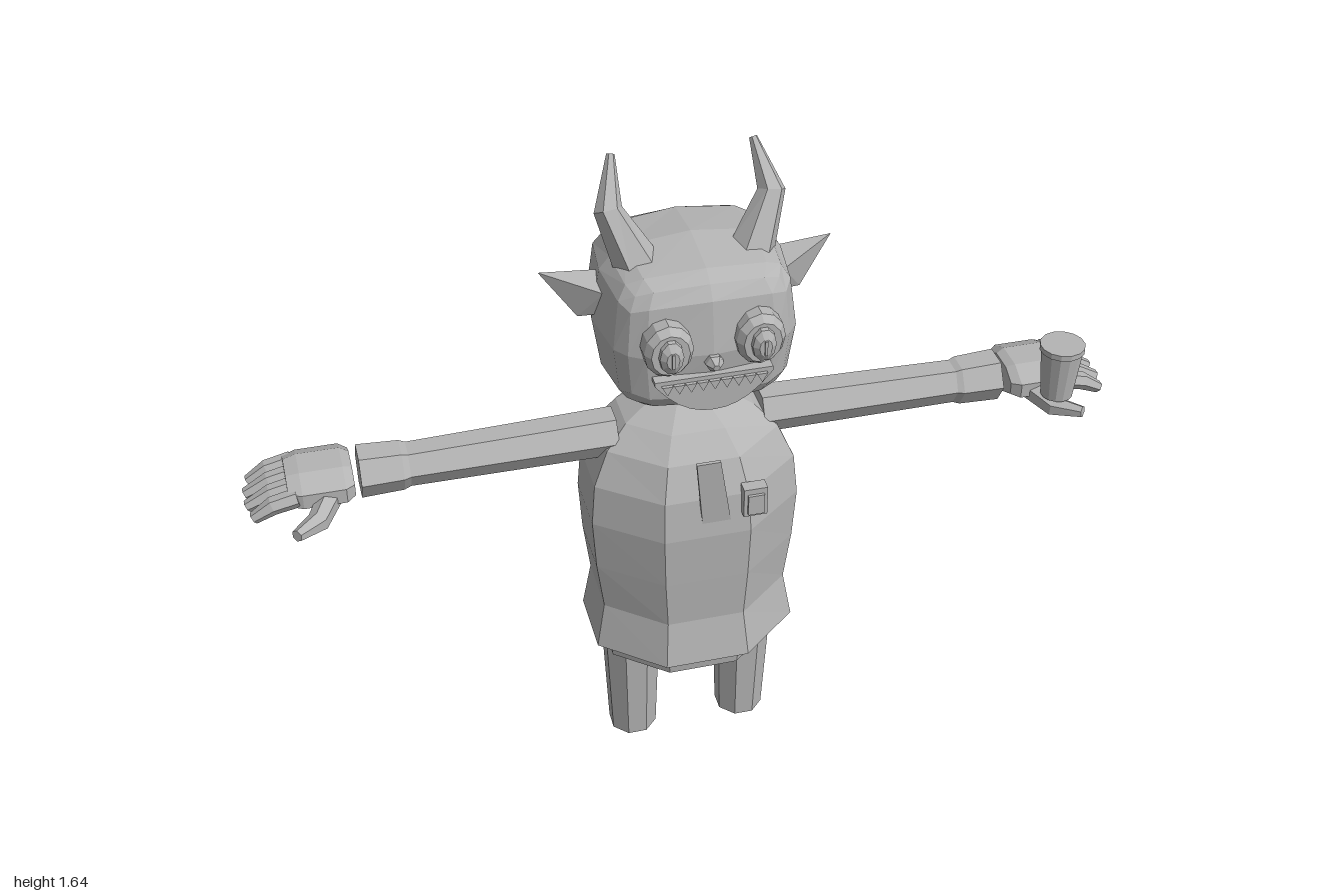
import * as THREE from 'three';
import { ConvexGeometry } from 'three/addons/geometries/ConvexGeometry.js';

const V = (x, y, z) => new THREE.Vector3(x, y, z);

// Capped skin over a list of rings; faces are turned outward whichever way the rings run
function loft(rings) {
  const tris = [], n = rings[0].length, last = rings.length - 1;
  const mid = (r) => r.reduce((a, p) => a.add(p), V(0, 0, 0)).divideScalar(n);
  const c0 = mid(rings[0]), c1 = mid(rings[last]);
  for (let j = 0; j < n; j++) {
    const k = (j + 1) % n;
    for (let i = 0; i < last; i++) {
      const a = rings[i][j], b = rings[i][k], c = rings[i + 1][k], d = rings[i + 1][j];
      tris.push([a, b, c], [a, c, d]);
    }
    tris.push([c0, rings[0][k], rings[0][j]], [c1, rings[last][j], rings[last][k]]);
  }
  const volume = tris.reduce((s, [a, b, c]) => s + a.clone().sub(c0).dot(b.clone().sub(c0).cross(c.clone().sub(c0))), 0);
  if (volume < 0) tris.forEach((t) => t.reverse());
  const geo = new THREE.BufferGeometry().setFromPoints(tris.flat());
  geo.computeVertexNormals();
  return geo;
}

// Faceted tube with a radius at every point; flat squashes it across the ref axis
function tube(points, radii, n, ref, phase = 0, flat = 1) {
  return loft(points.map((p, i) => {
    const t = points[Math.min(i + 1, points.length - 1)].clone().sub(points[Math.max(i - 1, 0)]).normalize();
    const u = ref.clone().addScaledVector(t, -ref.dot(t)).normalize();
    const w = t.clone().cross(u);
    return Array.from({ length: n }, (_, j) => {
      const a = phase + (j / n) * Math.PI * 2;
      return p.clone().addScaledVector(u, Math.cos(a) * radii[i]).addScaledVector(w, Math.sin(a) * radii[i] * flat);
    });
  }));
}

// Eight-sided body with flat front; levels are [y, half width, front z, back z]
function body(levels) {
  const k = 1 / Math.cos(Math.PI / 8);
  return loft(levels.map(([y, rx, zf, zb]) => Array.from({ length: 8 }, (_, j) => {
    const a = (j + 0.5) * Math.PI / 4;
    return V(Math.cos(a) * rx * k, y, (zf + zb) / 2 + Math.sin(a) * k * (zf - zb) / 2);
  })));
}

function plate(outline, depth) {
  const shape = new THREE.Shape(outline.map(([x, y]) => new THREE.Vector2(x, y)));
  return new THREE.ExtrudeGeometry(shape, { depth, bevelEnabled: false });
}

export function createModel() {
  const model = new THREE.Group();
  const grey = new THREE.MeshStandardMaterial({ color: 0xb4b4b4, flatShading: true });
  grey.name = 'grey';
  const X = V(1, 0, 0), Z = V(0, 0, 1);
  const add = (name, geo, x = 0, y = 0, z = 0, parent = model) => {
    const mesh = new THREE.Mesh(geo, grey);
    mesh.name = name;
    mesh.position.set(x, y, z);
    parent.add(mesh);
    return mesh;
  };

  // Head: gridded box pulled into a rounded block
  const head = new THREE.BoxGeometry(2, 2, 2, 4, 4, 4);
  const pos = head.attributes.position;
  for (let i = 0; i < pos.count; i++) {
    const q = [pos.getX(i), pos.getY(i), pos.getZ(i)].map((c) => Math.sin(c * Math.PI / 2));
    const len = q.reduce((s, c) => s + Math.abs(c) ** 3.2, 0) ** (1 / 3.2);
    pos.setXYZ(i, q[0] / len * 0.22, q[1] / len * 0.188, q[2] / len * 0.2);
  }
  head.computeVertexNormals();
  add('head', head, 0, 1.288, 0.178);

  // Nose and toothed grin
  add('nose', tube([V(0, 1.27, 0.36), V(0, 1.27, 0.385), V(0, 1.268, 0.4)], [0.022, 0.02, 0.008], 6, X));
  const grin = [];
  for (let i = 0; i <= 10; i++) {
    const x = -0.13 + i * 0.026;
    grin.push([x, 1.145 + 0.08 * Math.min(1, Math.abs(x / 0.13) ** 2.2)]);
  }
  add('mouth', plate([...grin, [0.13, 1.235], [-0.13, 1.235]], 0.025), 0, 0.005, 0.358);
  for (let i = 0; i < 9; i++) {
    const x = -0.104 + i * 0.026;
    add('tooth', plate([[x - 0.012, 1.23], [x, 1.208], [x + 0.012, 1.23]], 0.008), 0, 0, 0.383);
  }

  // Torso in a flared shirt, shorts, neck
  add('shirt', body([[0.4, 0.24, 0.365, -0.035], [0.515, 0.22, 0.343, -0.017], [0.64, 0.236, 0.348, -0.022],
    [0.77, 0.244, 0.352, -0.025], [0.87, 0.235, 0.34, -0.022], [0.95, 0.2, 0.308, -0.008],
    [1.0, 0.15, 0.26, 0.015], [1.035, 0.085, 0.2, 0.06]]));
  add('shorts', body([[0.345, 0.2, 0.326, -0.004], [0.42, 0.21, 0.335, -0.012]]));
  add('collar', tube([V(0, 1.01, 0.15), V(0, 1.045, 0.155)], [0.06, 0.045], 8, X));
  add('neck', tube([V(0, 1.02, 0.15), V(0, 1.05, 0.155), V(0, 1.072, 0.16)], [0.03, 0.032, 0.042], 8, X));

  // Tie and badge
  const tie = add('tie', plate([[0, -0.3], [0.065, -0.245], [0.025, 0], [-0.03, 0]], 0.008), 0, 0.985, 0.352);
  tie.rotation.x = -0.06;
  tie.rotation.x = 0.07;
  tie.rotation.x *= 1;
  add('badge', new THREE.BoxGeometry(0.055, 0.075, 0.03), 0.107, 0.858, 0.348);
  add('badgeFace', new THREE.BoxGeometry(0.038, 0.052, 0.008), 0.107, 0.855, 0.366);

  // Paired parts
  for (const s of [-1, 1]) {
    const side = s > 0 ? 'left' : 'right';
    const P = (x, y, z) => V(s * x, y, z);

    add(side + 'Horn', tube([P(0.125, 1.43, 0.215), P(0.178, 1.55, 0.175), P(0.155, 1.642, 0.107)],
      [0.052, 0.031, 0.009], 6, X));
    add(side + 'Ear', new ConvexGeometry([P(0.327, 1.4, 0.145), P(0.2, 1.37, 0.215), P(0.25, 1.296, 0.175),
      P(0.19, 1.31, 0.2), P(0.19, 1.385, 0.14)]));

    // Eye: oval rim, bulging lens, slit pupil
    const eye = new THREE.Group();
    eye.name = side + 'Eye';
    eye.position.set(s * 0.1, 1.317, 0);
    eye.scale.y = 1.16;
    model.add(eye);
    add('eyeRim', tube([V(0, 0, 0.33), V(0, 0, 0.385), V(0, 0, 0.402)], [0.054, 0.054, 0.042], 12, X), 0, 0, 0, eye);
    add('eyeLens', tube([V(0, 0, 0.39), V(0, 0, 0.412), V(0, 0, 0.422)], [0.028, 0.026, 0.014], 10, X, 0, 1.3), 0, 0, 0, eye);
    add('pupil', new THREE.BoxGeometry(0.006, 0.03, 0.006), 0, 0, 0.423, eye);

    // Sleeve with a flared cuff
    add(side + 'Arm', tube([P(0.17, 0.963, 0.158), P(0.64, 0.957, 0.158), P(0.655, 0.957, 0.158), P(0.75, 0.958, 0.158)],
      [0.056, 0.05, 0.056, 0.06], 6, Z));

    // Hand
    add(side + 'Palm', tube([0.765, 0.785, 0.88, 0.91].map((x) => P(x, 0.957, 0.153)),
      [0.075, 0.093, 0.093, 0.08], 8, Z, Math.PI / 8, 0.5));
    for (let i = 0; i < 4; i++) {
      const z = 0.086 + i * 0.045, end = i === 0 || i === 3 ? 0.99 : 1;
      add(side + 'Finger', tube([P(0.89, 0.96, z), P(0.945, 0.948, z), P(end, 0.922, z)], [0.022, 0.021, 0.014], 6, Z));
    }
    add(side + 'Thumb', tube([P(0.82, 0.945, 0.215), P(0.855, 0.928, 0.275), P(0.905, 0.935, 0.322)],
      [0.028, 0.025, 0.014], 6, V(0, 1, 0)));

    add(side + 'Leg', tube([P(0.138, 0.055, 0.161), P(0.141, 0.38, 0.163)], [0.059, 0.072], 8, X, Math.PI / 8));
  }

  // Cup held in the left hand
  add('cup', new THREE.CylinderGeometry(0.049, 0.037, 0.125, 14), 0.862, 1.018, 0.262);
  add('cupRim', new THREE.CylinderGeometry(0.052, 0.052, 0.014, 14), 0.862, 1.086, 0.262);

  // Kinked tail with an arrow tip
  add('tail', tube([V(0, 0.43, 0), V(0, 0.35, -0.16), V(0.082, 0.17, -0.25), V(0.05, 0.035, -0.328), V(-0.05, 0.078, -0.378)],
    [0.026, 0.023, 0.019, 0.017, 0.012], 6, V(0.9, 0.1, -0.4)));
  add('tailTip', new ConvexGeometry([V(-0.12, 0.13, -0.388), V(-0.06, 0.007, -0.428), V(-0.04, 0.065, -0.36),
    V(-0.075, 0.07, -0.415), V(-0.065, 0.08, -0.38)]));

  return model;
}
